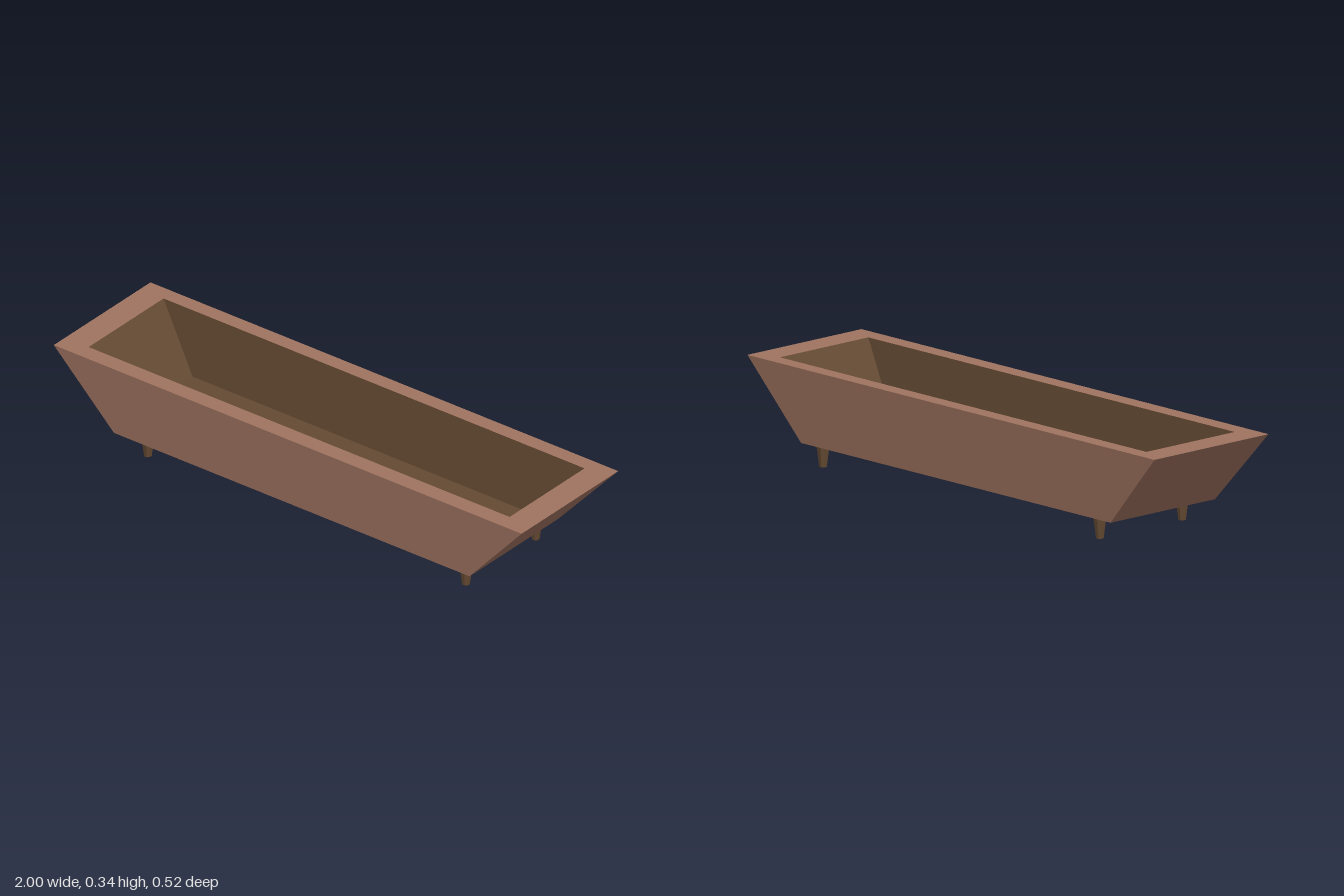
import * as THREE from 'three';

// Rectangle of four corners at height y, counter-clockwise seen from above
function ring(y, hx, hz, cz = 0) {
  return [[-hx, y, cz + hz], [hx, y, cz + hz], [hx, y, cz - hz], [-hx, y, cz - hz]];
}

// Mesh of separate flat quads
function quadMesh(name, quads, material) {
  const points = quads.flatMap(([a, b, c, d]) => [a, b, c, a, c, d]).flat();
  const geometry = new THREE.BufferGeometry();
  geometry.setAttribute('position', new THREE.Float32BufferAttribute(points, 3));
  geometry.computeVertexNormals();
  const mesh = new THREE.Mesh(geometry, material);
  mesh.name = name;
  return mesh;
}

// Four quads joining one ring to the next
function band(a, b) {
  return a.map((p, i) => [p, a[(i + 1) % 4], b[(i + 1) % 4], b[i]]);
}

export function createModel() {
  const model = new THREE.Group();
  model.name = 'planterTrough';

  const clay = new THREE.MeshStandardMaterial({ color: 0xa07460 });
  clay.name = 'clay brown';
  const wood = new THREE.MeshStandardMaterial({ color: 0x654a33 });
  wood.name = 'dark wood';

  const base = ring(0.078, 0.76, 0.24);
  const outerRim = ring(0.343, 1, 0.262);
  const innerRim = ring(0.343, 0.9, 0.203, -0.003);
  const floor = ring(0.105, 0.754, 0.173, -0.005);

  // Flared outer body with its underside and flat rim
  model.add(quadMesh('outerShell', [...band(base, outerRim), [...base].reverse()], clay));
  model.add(quadMesh('rim', band(outerRim, innerRim), clay));

  // Hollow inside
  model.add(quadMesh('innerLining', [...band(innerRim, floor), floor], wood));

  // Tapered feet
  const legGeometry = new THREE.CylinderGeometry(0.0245, 0.0137, 0.08, 8).toNonIndexed();
  legGeometry.rotateY(Math.PI / 8);
  legGeometry.computeVertexNormals();
  for (const [side, x] of [['Right', -0.661], ['Left', 0.699]]) {
    for (const [end, z] of [['front', 0.182], ['back', -0.196]]) {
      const leg = new THREE.Mesh(legGeometry, wood);
      leg.name = `${end}${side}Leg`;
      leg.position.set(x, 0.04, z);
      model.add(leg);
    }
  }
  return model;
}
